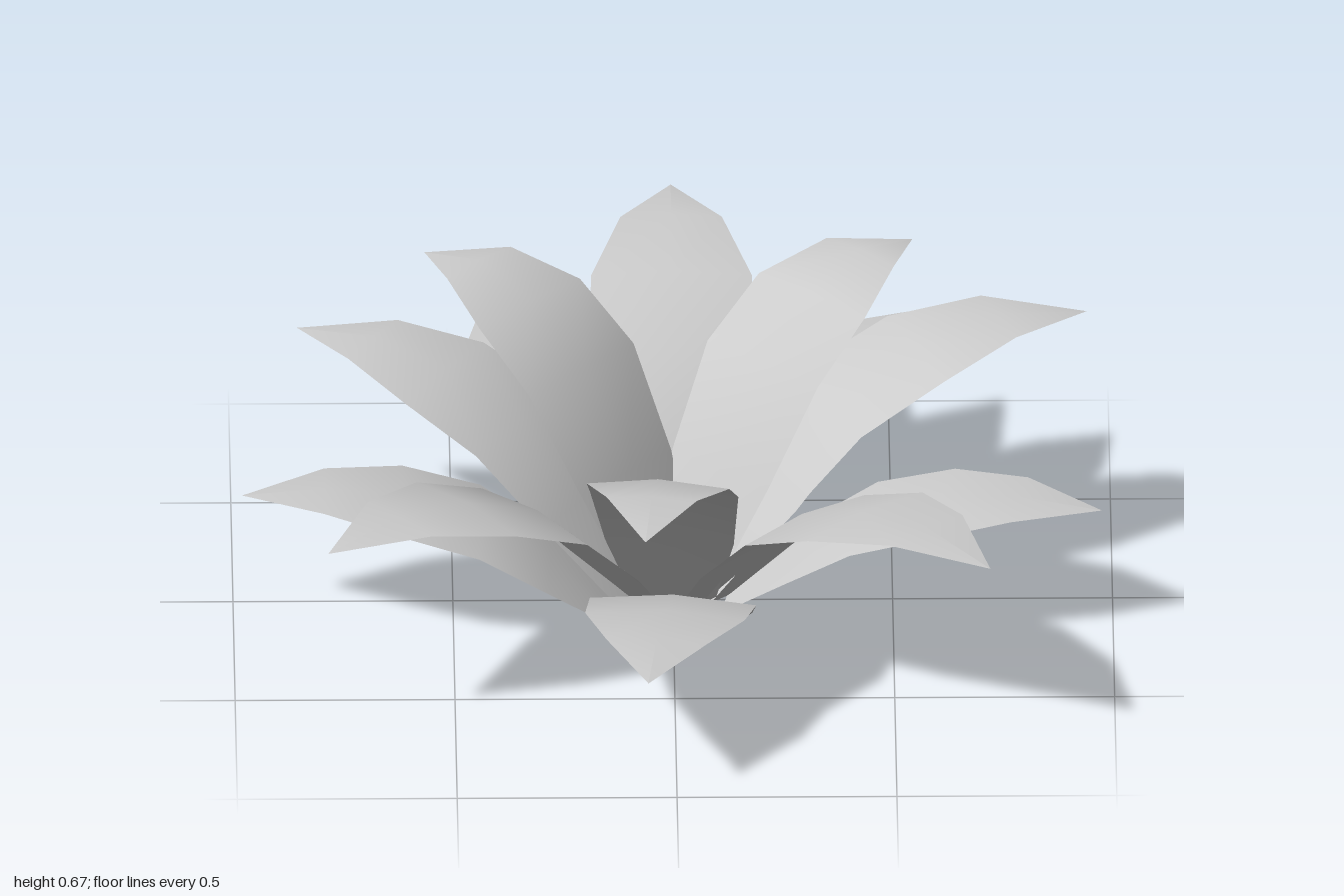
import * as THREE from 'three';

// stations along a leaf: distance (0 base, 1 tip), rise (fraction of peak), half width, ridge height
const STATIONS = [
  [0, 0, 0.087, 0],
  [0.18, 0.42, 0.15, 0.014],
  [0.36, 0.75, 0.173, 0.016],
  [0.57, 0.925, 0.166, 0.016],
  [0.78, 1, 0.105, 0.008],
  [1, 0.95, 0, 0],
];

// leaves by tier: peak height and, for each leaf, tip x, tip z, base radius, sideways base shift, width factor
const TIERS = [
  { name: 'outerLeaf', peak: 0.303, leaves: [
    [-0.065, 0.995, 0.13, 0.04, 1.1], [0.975, 0.13, 0.12, 0.04, 1.1], [0.555, -0.885, 0.16, 0.04, 1.1],
    [-0.43, -0.895, 0.17, 0.04, 1.1], [-0.98, 0.035, 0.13, 0.04, 1.1]] },
  { name: 'lowerLeaf', peak: 0.479, leaves: [
    [0.715, 0.755, 0.07, 0.012, 1.08], [-0.79, 0.665, 0.07, 0.012, 1.08], [-0.85, -0.48, 0.07, 0.012, 1.08]] },
  { name: 'upperLeaf', peak: 0.583, leaves: [
    [0.945, -0.35, 0.03, 0, 1.08], [0.005, -1, 0.03, 0, 1.1], [-0.07, 0.81, 0.04, 0.008, 0.98]] },
  { name: 'innerLeaf', peak: 0.664, leaves: [[0.55, -0.565, 0.01, 0, 1], [-0.56, -0.51, 0, 0, 1.03]] },
];

// gently ridged blade pointing along +z: left edge, midrib and right edge at each station
function leafGeometry(length, peak, width) {
  const mid = STATIONS.map(([t, h]) => new THREE.Vector2(t * length, h * peak));
  const pos = [], index = [];
  STATIONS.forEach(([, , half, ridge], i) => {
    const a = mid[Math.max(i - 1, 0)], b = mid[Math.min(i + 1, mid.length - 1)];
    const dir = b.clone().sub(a).normalize();
    for (const side of [-1, 0, 1]) {
      // the midrib rises along the blade's normal, the edges drop
      const lift = ridge * (side ? -0.5 : 0.5);
      pos.push(side * half * width, mid[i].y + dir.x * lift, mid[i].x - dir.y * lift);
    }
  });
  for (let i = 0; i < STATIONS.length - 1; i++) {
    for (let j = 0; j < 2; j++) {
      const p = i * 3 + j, q = p + 3;
      index.push(p, q, p + 1);
      if (i < STATIONS.length - 2) index.push(p + 1, q, q + 1);
    }
  }
  const geo = new THREE.BufferGeometry();
  geo.setAttribute('position', new THREE.Float32BufferAttribute(pos, 3));
  geo.setIndex(index);
  geo.computeVertexNormals();
  return geo;
}

export function createModel() {
  const plant = new THREE.Group();
  plant.name = 'rosettePlant';
  const material = new THREE.MeshStandardMaterial({ color: 0xcccccc, side: THREE.DoubleSide });

  for (const { name, peak, leaves } of TIERS) {
    leaves.forEach(([x, z, base, shift, width], i) => {
      // the base sits near the centre, moved to the leaf's left, and the blade aims at its tip
      const r = Math.hypot(x, z);
      const bx = (x * base + z * shift) / r, bz = (z * base - x * shift) / r;
      const leaf = new THREE.Mesh(leafGeometry(Math.hypot(x - bx, z - bz), peak, width), material);
      leaf.name = name + (i + 1);
      leaf.position.set(bx, 0, bz);
      leaf.rotation.y = Math.atan2(x - bx, z - bz);
      plant.add(leaf);
    });
  }
  return plant;
}
